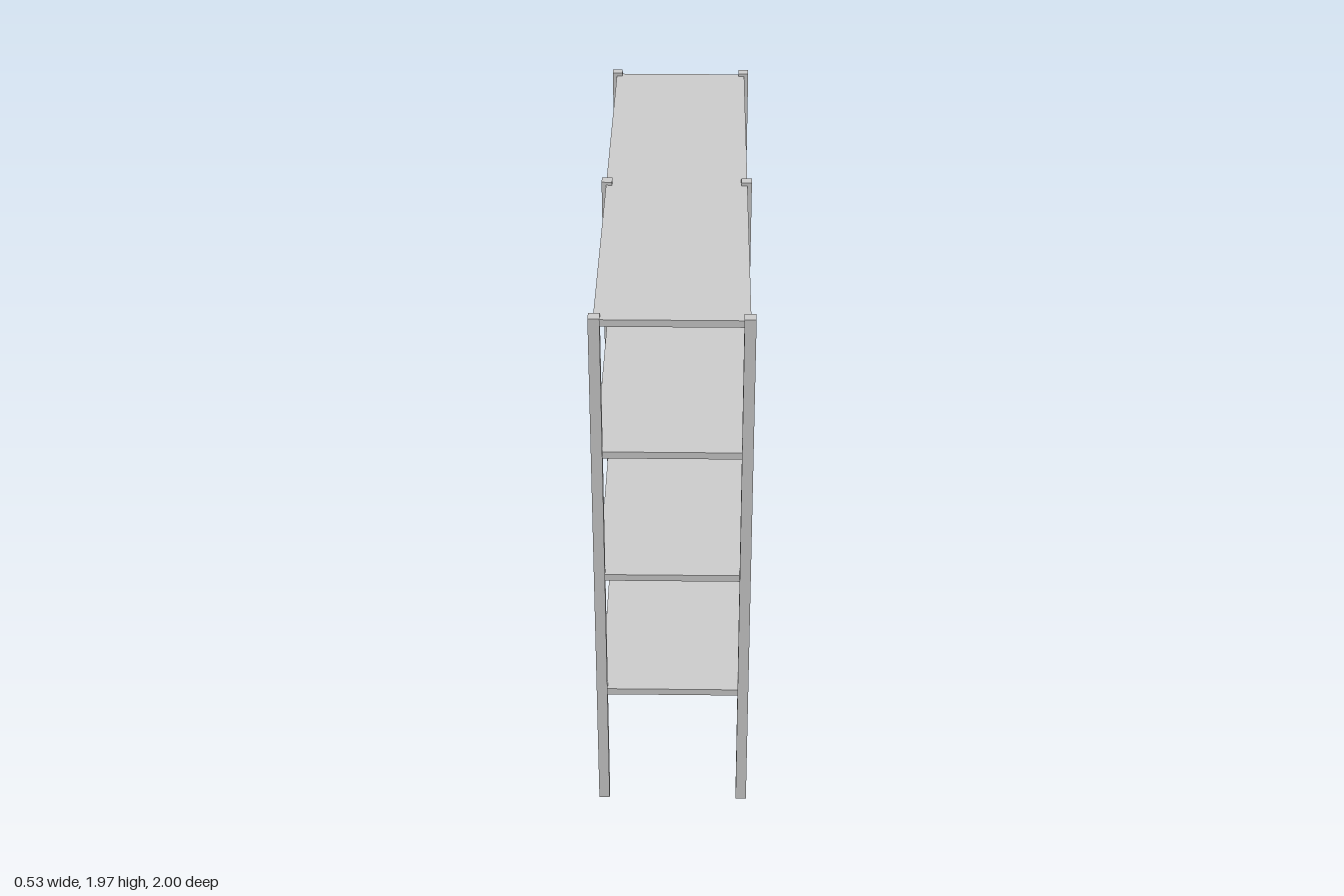
import * as THREE from 'three';

const material = new THREE.MeshStandardMaterial({ color: 0xcccccc, flatShading: true });

function box(name, w, h, d, x, y, z) {
  const mesh = new THREE.Mesh(new THREE.BoxGeometry(w, h, d), material);
  mesh.name = name;
  mesh.position.set(x, y, z);
  return mesh;
}

// A thin sheet with a narrow lip hanging from all four edges
function makeShelf(top) {
  const width = 0.496, length = 1.97, height = 0.025, sheet = 0.005, lip = 0.005;
  const shelf = new THREE.Group();
  shelf.name = 'shelf';
  shelf.add(box('shelfPanel', width, sheet, length, 0, top - sheet / 2, 0));
  const lipHeight = height - sheet;
  const y = top - sheet - lipHeight / 2;
  for (const s of [-1, 1]) {
    shelf.add(box('sideLip', lip, lipHeight, length, s * (width - lip) / 2, y, 0));
    shelf.add(box('endLip', width - 2 * lip, lipHeight, lip, 0, y, s * (length - lip) / 2));
  }
  return shelf;
}

export function createModel() {
  const model = new THREE.Group();
  model.name = 'shelvingUnit';

  // Six square posts, three along each long side
  const postSize = 0.037, postHeight = 1.97;
  for (const x of [-0.245, 0.245]) {
    for (const z of [-0.9815, 0, 0.9815]) {
      model.add(box('post', postSize, postHeight, postSize, x, postHeight / 2, z));
    }
  }

  // Four evenly spaced shelves
  for (let i = 0; i < 4; i++) model.add(makeShelf(0.487 + i * 0.4905));

  return model;
}
